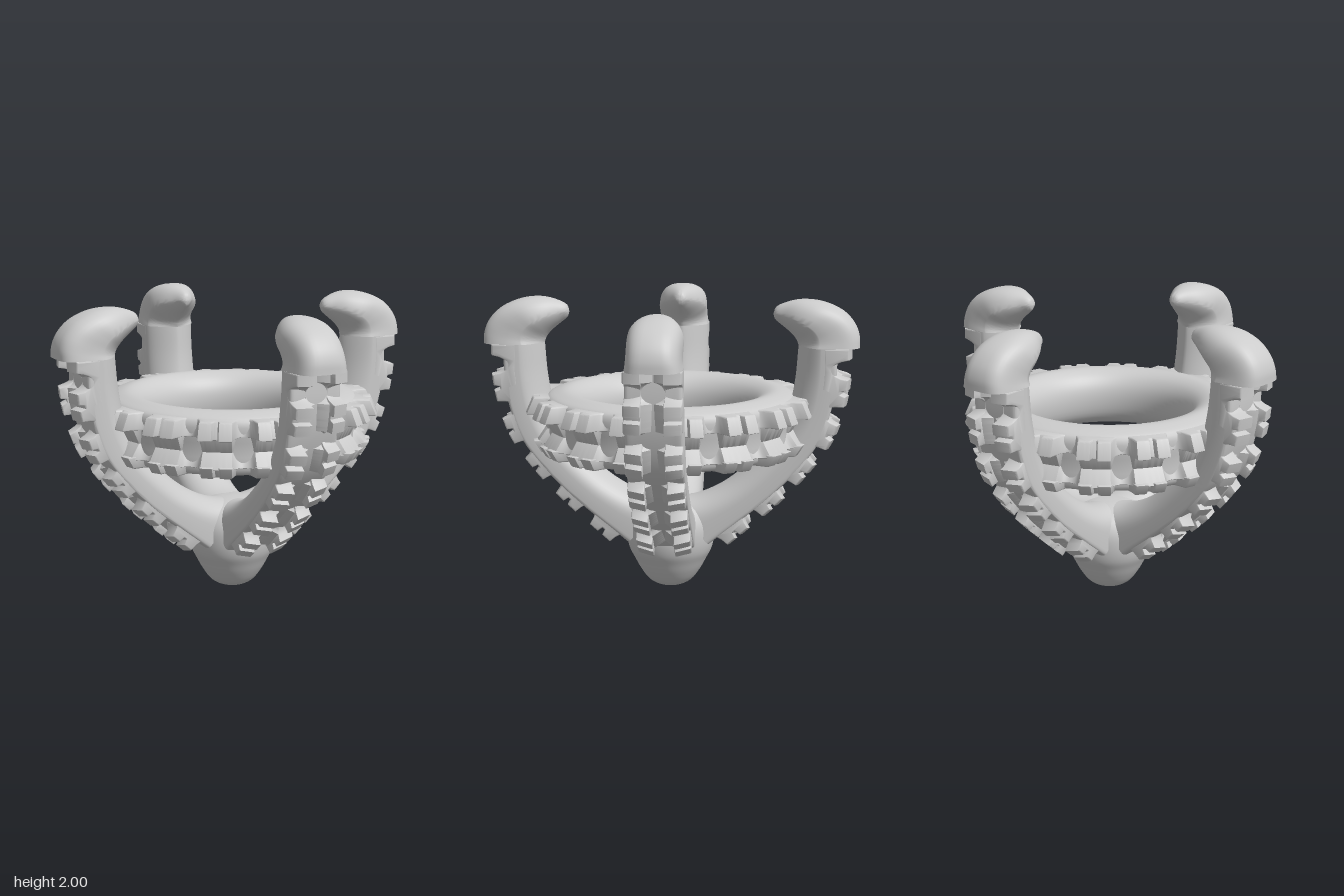
import * as THREE from 'three';
import { toCreasedNormals } from 'three/addons/utils/BufferGeometryUtils.js';

const material = new THREE.MeshStandardMaterial({ color: 0xcccccc, side: THREE.DoubleSide });

function part(name, geometry, crease = 0.7) {
  const mesh = new THREE.Mesh(toCreasedNormals(geometry, crease), material);
  mesh.name = name;
  return mesh;
}

const spline = pts => new THREE.CatmullRomCurve3(pts.map(p => new THREE.Vector3(p[0], p[1], p[2] || 0)));

// Skin through cross-sections; each runs from inner point a to outer point b, is widest (half width w)
// at fraction m, and has its own roundness exponents for the inner and outer halves
function loft(stations, sides = 40) {
  const pos = [], index = [];
  const power = (v, n) => Math.sign(v) * Math.pow(Math.abs(v), 2 / n);
  for (const { a, b, w, m, nIn, nOut } of stations) {
    for (let j = 0; j < sides; j++) {
      const t = j / sides * Math.PI * 2, c = Math.cos(t), s = Math.sin(t);
      const n = c > 0 ? nOut : nIn;
      const k = m + (c > 0 ? 1 - m : m) * power(c, n);
      pos.push(a.x + (b.x - a.x) * k, a.y + (b.y - a.y) * k, w * power(s, n));
    }
  }
  const last = stations.length - 1;
  for (const st of [stations[0], stations[last]]) {
    pos.push((st.a.x + st.b.x) / 2, (st.a.y + st.b.y) / 2, 0);
  }
  const c0 = stations.length * sides, c1 = c0 + 1;
  for (let j = 0; j < sides; j++) {
    const k = (j + 1) % sides;
    for (let i = 0; i < last; i++) {
      const p = i * sides, q = p + sides;
      index.push(p + j, p + k, q + j, p + k, q + k, q + j);
    }
    index.push(c0, k, j, c1, last * sides + j, last * sides + k);
  }
  const geo = new THREE.BufferGeometry();
  geo.setAttribute('position', new THREE.Float32BufferAttribute(pos, 3));
  geo.setIndex(index);
  return geo;
}

// Depth of the tread cut at phase p: a round gap at whole numbers, a small notch half way
function cut(p, gap, notch) {
  const f = p - Math.floor(p), q = Math.min(f, 1 - f);
  if (q < 0.2) return gap * Math.sqrt(1 - (q / 0.2) ** 2);
  return Math.abs(f - 0.5) < 0.035 ? notch : 0;
}

const bevel = { bevelEnabled: true, bevelThickness: 0.01, bevelSize: 0.008, bevelOffset: -0.008, bevelSegments: 2 };

// ---- Ring ----
function ringTread(name, y0, y1, rBottom, rTop, gap, notch) {
  const shape = new THREE.Shape(), steps = 16 * 32;
  for (let i = 0; i < steps; i++) {
    const t = i / steps * Math.PI * 2, r = 1 - cut(i / 32, gap, notch);
    shape[i ? 'lineTo' : 'moveTo'](r * Math.cos(t), r * Math.sin(t));
  }
  shape.closePath();
  shape.holes.push(new THREE.Path().absarc(0, 0, 0.8, 0, Math.PI * 2, true));
  const geo = new THREE.ExtrudeGeometry(shape, { depth: y1 - y0 - 0.02, curveSegments: 64, ...bevel });
  geo.rotateX(-Math.PI / 2).translate(0, y0 + 0.01, 0);
  // taper from the lower radius to the upper radius
  const p = geo.attributes.position;
  for (let i = 0; i < p.count; i++) {
    const r = rBottom + (rTop - rBottom) * (p.getY(i) - y0) / (y1 - y0);
    p.setX(i, p.getX(i) * r);
    p.setZ(i, p.getZ(i) * r);
  }
  return part(name, geo);
}

function createRing() {
  const ring = new THREE.Group();
  ring.name = 'ring';
  const section = new THREE.CatmullRomCurve3([
    [0.545, 1.18], [0.57, 1.06], [0.63, 0.995], [0.74, 0.98], [0.82, 0.995], [0.835, 1.15],
    [0.845, 1.335], [0.77, 1.375], [0.69, 1.385], [0.61, 1.35], [0.56, 1.28],
  ].map(([r, y]) => new THREE.Vector3(r, y, 0)), true);
  const profile = section.getPoints(44).map(p => new THREE.Vector2(p.x, p.y));
  ring.add(
    part('ringBody', new THREE.LatheGeometry(profile, 96), 1.2),
    ringTread('upperRingTread', 1.24, 1.352, 0.985, 0.935, 0.13, 0.045),
    ringTread('upperGrooveFlank', 1.13, 1.25, 0.84, 0.9, 0.07, 0),
    ringTread('lowerGrooveFlank', 1.04, 1.15, 0.92, 0.84, 0.07, 0),
    ringTread('lowerRingTread', 0.98, 1.06, 0.89, 0.94, 0.13, 0.045),
  );
  return ring;
}

// ---- Arms, built in the x-y plane ----
const outer = spline([[1.22, 1.69], [1.22, 1.5], [1.19, 1.3], [1.11, 1.06], [0.96, 0.84], [0.76, 0.62], [0.56, 0.44], [0.35, 0.26]]);
const inner = spline([[0.86, 1.69], [0.84, 1.45], [0.79, 1.22], [0.68, 1.02], [0.53, 0.87], [0.36, 0.735], [0.18, 0.65], [0, 0.625]]);

// Strip of tread between widths z0 and z1, sunk by d0 and d1 at those widths
function armTread(name, z0, z1, d0, d1, gap, notch) {
  const steps = 170, length = outer.getLength(), top = [], base = [];
  for (let i = 0; i <= steps; i++) {
    const u = i / steps, p = outer.getPointAt(u), t = outer.getTangentAt(u);
    const depth = cut((u * length - 0.14) / 0.32, gap, notch);
    const at = d => new THREE.Vector2(p.x + t.y * d, p.y - t.x * d);
    top.push(at(depth));
    if (i % 5 === 0) base.unshift(at(0.16));
  }
  const geo = new THREE.ExtrudeGeometry(new THREE.Shape([...top, ...base]), { depth: z1 - z0 - 0.02, ...bevel });
  geo.translate(0, 0, z0 + 0.01);
  const p = geo.attributes.position, pull = new THREE.Vector2();
  for (let i = 0; i < p.count; i++) {
    const sink = d0 + (d1 - d0) * (p.getZ(i) - z0) / (z1 - z0);
    pull.set(-p.getX(i), Math.max(0, 1.4 - p.getY(i))).setLength(sink);
    p.setXY(i, p.getX(i) + pull.x, p.getY(i) + pull.y);
  }
  return part(name, geo);
}

function createArm() {
  const arm = new THREE.Group();
  arm.name = 'arm';

  // body, sunk below the tread
  const body = [];
  for (let i = 0; i <= 32; i++) {
    const t = i / 32, a = inner.getPoint(t), b = outer.getPoint(t);
    b.add(a.clone().sub(b).setLength(0.105));
    body.push({ a, b, w: 0.178 + 0.012 * t, m: 0.6, nIn: 1.4 + 0.8 * t, nOut: 12 });
  }
  arm.add(part('armBody', loft(body), 1));

  // hooked horn, from the tip down to the step above the tread
  const under = spline([[0.69, 1.895], [0.7, 1.865], [0.74, 1.83], [0.79, 1.79], [0.83, 1.75],
    [0.85, 1.72], [0.855, 1.705], [0.858, 1.697], [0.86, 1.69]]);
  const over = spline([[0.69, 1.905, 0.006], [0.705, 1.945, 0.035], [0.77, 1.978, 0.072], [0.88, 2.0, 0.13],
    [1.02, 1.985, 0.168], [1.155, 1.925, 0.172], [1.235, 1.84, 0.17], [1.265, 1.76, 0.172], [1.268, 1.69, 0.178]]);
  const horn = [];
  for (let i = 0; i <= 32; i++) {
    const t = i / 32, b = over.getPoint(t);
    horn.push({ a: under.getPoint(t), b, w: b.z, m: 0.5 - 0.17 * t, nIn: 1.4, nOut: 1.5 + 2.5 * t });
  }
  arm.add(part('horn', loft(horn), 0.9));

  // tread blocks and the sloping sides of the middle groove
  for (const side of [1, -1]) {
    const label = side > 0 ? 'left' : 'right';
    const strips = [
      armTread(label + 'ArmTread', 0.07, 0.18, 0, 0.03, 0.11, 0.04),
      armTread(label + 'GrooveFlank', -0.01, 0.08, 0.115, 0.05, 0.05, 0),
    ];
    for (const strip of strips) {
      strip.scale.z = side;
      arm.add(strip);
    }
  }
  return arm;
}

export function createModel() {
  const model = new THREE.Group();
  model.name = 'hookedRing';
  model.add(createRing());

  for (let i = 0; i < 4; i++) {
    const arm = createArm();
    arm.rotation.y = Math.PI / 4 + i * Math.PI / 2;
    model.add(arm);
  }

  // rounded hub where the arms meet
  const hubProfile = spline([[0, 0], [0.08, 0.008], [0.15, 0.045], [0.21, 0.125], [0.25, 0.2], [0.285, 0.27],
    [0.305, 0.37], [0.3, 0.48], [0.25, 0.57], [0.13, 0.625], [0, 0.638]]).getPoints(40).map(p => new THREE.Vector2(Math.max(p.x, 0), Math.max(p.y, 0)));
  model.add(part('hub', new THREE.LatheGeometry(hubProfile, 64), 1.2));
  return model;
}
